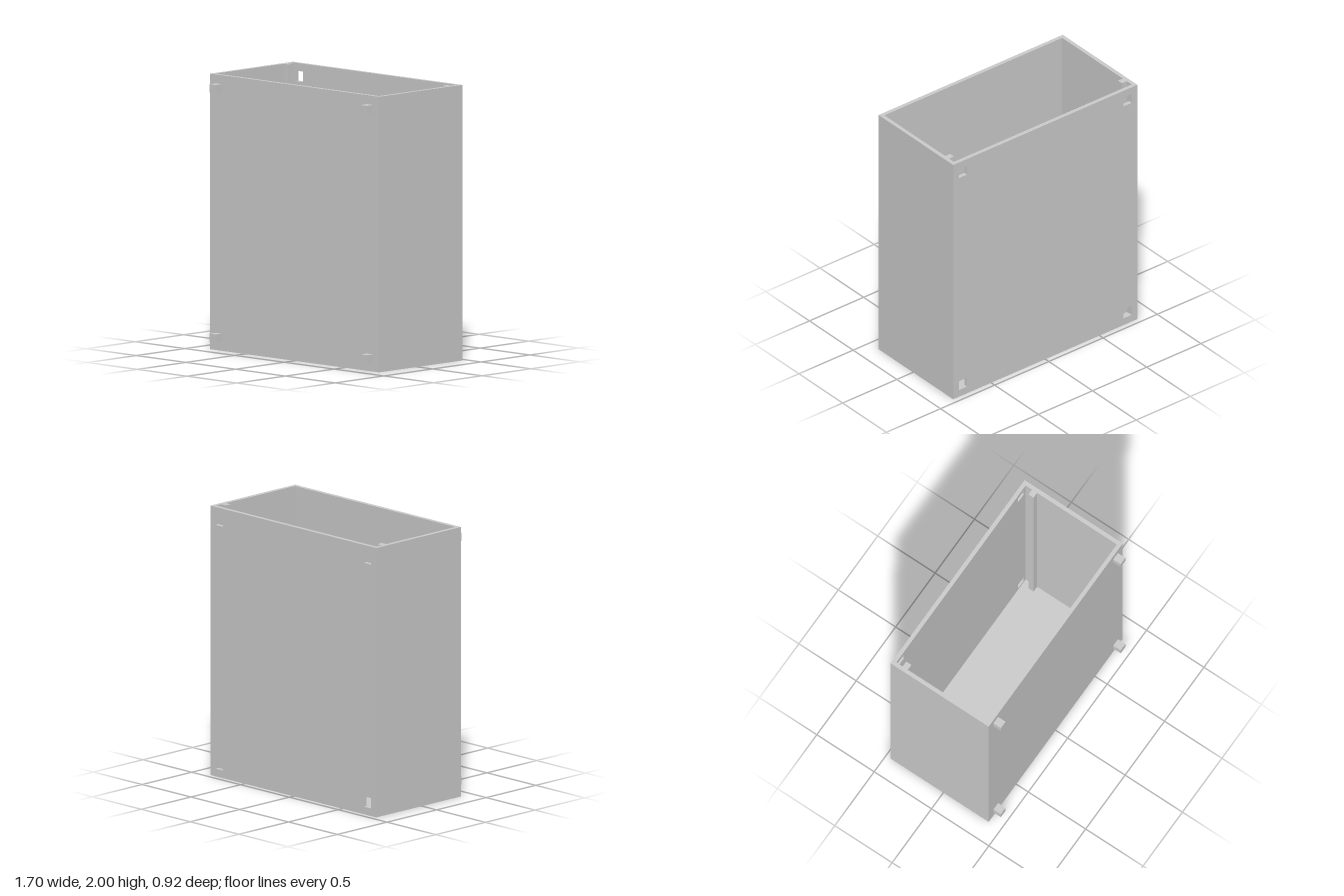
import * as THREE from 'three';

const material = new THREE.MeshStandardMaterial({ color: 0xcccccc, flatShading: true });

const W = 0.85, H = 2, T = 0.03;      // half width, height, wall thickness
const BACK = -0.46, FRONT = 0.395;    // outer faces of the box
const PEG_X = 0.76, PEG_YS = [0.095, 1.905];

export function createModel() {
  const model = new THREE.Group();
  const add = (name, geometry, x = 0, y = 0, z = 0) => {
    const mesh = new THREE.Mesh(geometry, material);
    mesh.name = name;
    mesh.position.set(x, y, z);
    model.add(mesh);
  };

  // Front and side walls with the inner guide ribs: one plan outline raised to full height
  const inX = W - T, ribX = 0.775, b = BACK + T;
  const half = [[W, FRONT], [W, b], [inX, b], [inX, -0.375], [ribX, -0.375],
    [ribX, -0.33], [inX, -0.33], [inX, FRONT - T]];
  const outline = [...half, ...half.map(([x, z]) => [-x, z]).reverse()];
  const plan = new THREE.Shape(outline.map(([x, z]) => new THREE.Vector2(x, -z)));
  const walls = new THREE.ExtrudeGeometry(plan, { depth: H, bevelEnabled: false });
  walls.rotateX(-Math.PI / 2);
  add('frontAndSideWalls', walls);

  // Back wall with four square sockets
  const panel = new THREE.Shape([[-W, 0], [W, 0], [W, H], [-W, H]].map(p => new THREE.Vector2(...p)));
  const s = 0.038;
  for (const side of [-1, 1]) for (const y of PEG_YS) {
    const x = side * PEG_X;
    panel.holes.push(new THREE.Path(
      [[x - s, y - s], [x - s, y + s], [x + s, y + s], [x + s, y - s]].map(p => new THREE.Vector2(...p))));
  }
  add('backWall', new THREE.ExtrudeGeometry(panel, { depth: T, bevelEnabled: false }), 0, 0, BACK);

  // Floor between the walls
  const depth = FRONT - BACK - 2 * T;
  add('floor', new THREE.BoxGeometry(2 * inX, T, depth), 0, T / 2, (FRONT + BACK) / 2);

  // Square pegs on the front
  const pegDepth = 0.46 - FRONT;
  for (const side of [-1, 1]) for (const y of PEG_YS) {
    add('peg', new THREE.BoxGeometry(0.06, 0.06, pegDepth), side * PEG_X, y, FRONT + pegDepth / 2);
  }
  return model;
}
